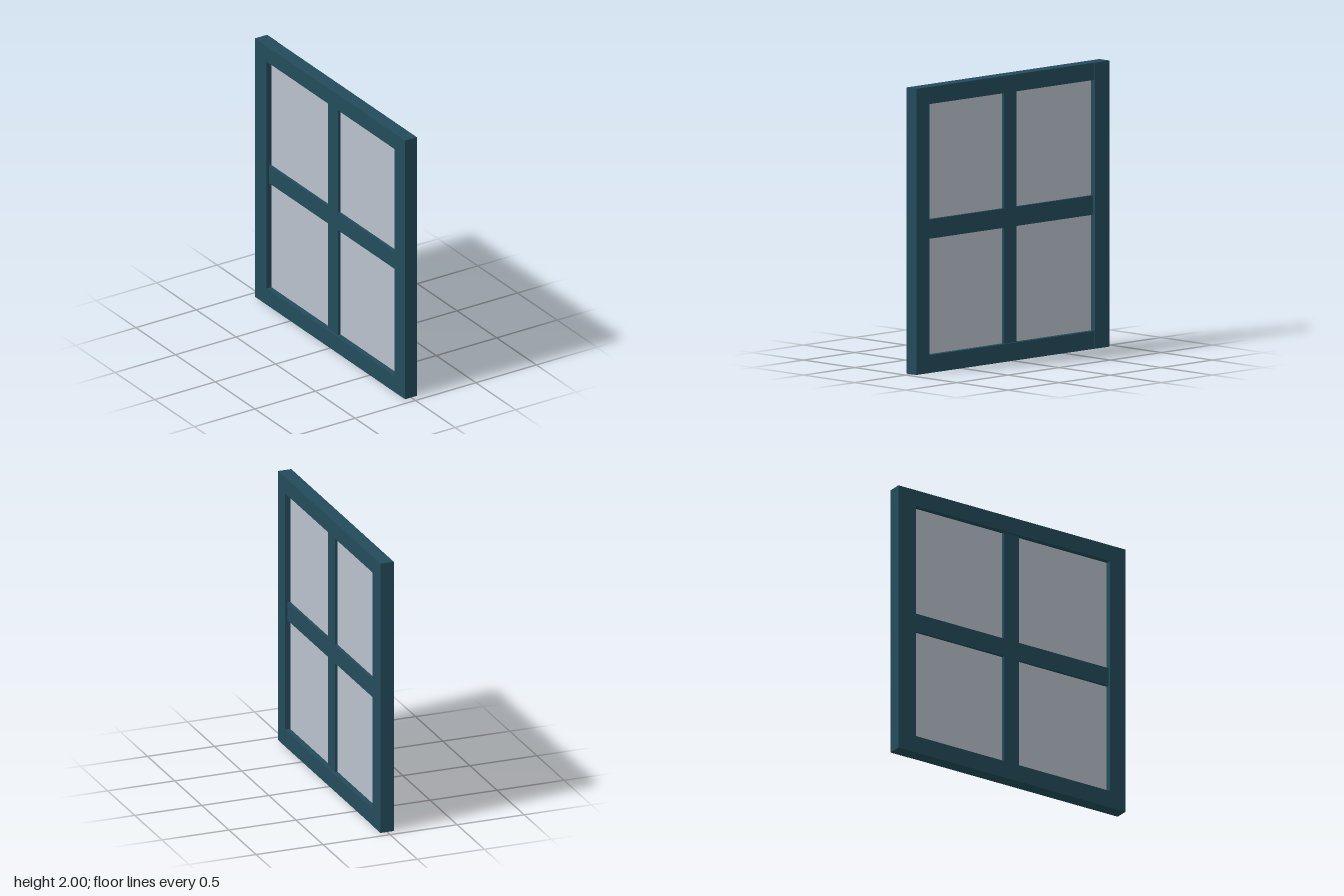
import * as THREE from 'three';

export function createModel() {
  const model = new THREE.Group();
  model.name = 'window';
  const paint = new THREE.MeshStandardMaterial({ color: 0x234c5b });
  paint.name = 'dark teal paint';
  const glass = new THREE.MeshStandardMaterial({ color: 0xbbc2cd });
  glass.name = 'pale grey glass';

  // Box between two limits on each axis
  function bar(name, material, [x0, x1], [y0, y1], [z0, z1]) {
    const mesh = new THREE.Mesh(new THREE.BoxGeometry(x1 - x0, y1 - y0, z1 - z0), material);
    mesh.position.set((x0 + x1) / 2, (y0 + y1) / 2, (z0 + z1) / 2);
    mesh.name = name;
    model.add(mesh);
  }

  const depth = [-0.05, 0.048];
  const barDepth = [-0.03, 0.03];
  const openY = [0.125, 1.88];
  const openZ = [-0.8, 0.815];

  // Outer frame
  bar('frontStile', paint, depth, [0, 2], [openZ[1], 0.945]);
  bar('backStile', paint, [-0.05, 0.05], [0, 2], [-0.945, openZ[0]]);
  bar('bottomRail', paint, depth, [0, openY[0]], openZ);
  bar('topRail', paint, depth, [openY[1], 2], openZ);

  // Crossing glazing bars, set back from the frame
  const midY = [0.935, 1.07];
  const midZ = [-0.055, 0.07];
  bar('horizontalBar', paint, barDepth, midY, openZ);
  bar('lowerVerticalBar', paint, barDepth, [openY[0], midY[0]], midZ);
  bar('upperVerticalBar', paint, barDepth, [midY[1], openY[1]], midZ);

  // Four panes
  for (const y of [[openY[0], midY[0]], [midY[1], openY[1]]]) {
    for (const z of [[openZ[0], midZ[0]], [midZ[1], openZ[1]]]) {
      bar('pane', glass, [-0.01, 0.01], y, z);
    }
  }
  return model;
}
